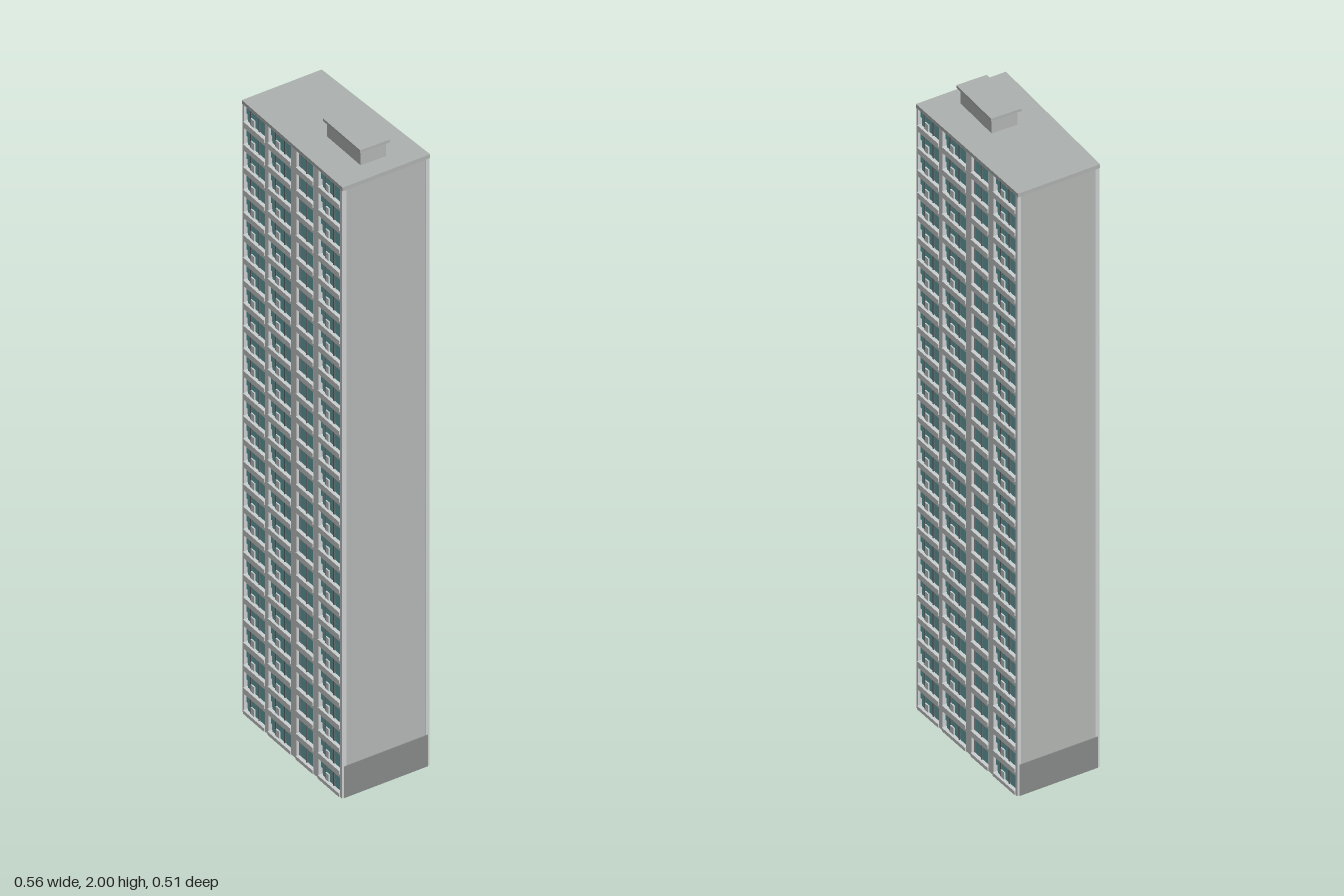
import * as THREE from 'three';
import { mergeGeometries } from 'three/addons/utils/BufferGeometryUtils.js';

const material = (name, color) => {
  const m = new THREE.MeshStandardMaterial({ color });
  m.name = name;
  return m;
};

const HEIGHT = 1.945, FLOORS = 27, STEP = HEIGHT / FLOORS, RECESS = 0.012;

// Plan corners [x, z]
const A = [-0.135, -0.251], B = [0.278, 0.016], C = [0.122, 0.251], D = [-0.277, -0.036];
const toward = (p, q, d) => {
  const l = Math.hypot(q[0] - p[0], q[1] - p[1]);
  return [p[0] + (q[0] - p[0]) * d / l, p[1] + (q[1] - p[1]) * d / l];
};

// Vertical prism over a plan polygon
function prism(points, y0, y1) {
  const shape = new THREE.Shape(points.map(([x, z]) => new THREE.Vector2(x, -z)));
  return new THREE.ExtrudeGeometry(shape, { depth: y1 - y0, bevelEnabled: false })
    .rotateX(-Math.PI / 2).translate(0, y0, 0);
}

// Box given by its limits
const block = (x0, x1, y0, y1, z0, z1) =>
  new THREE.BoxGeometry(x1 - x0, y1 - y0, z1 - z0)
    .translate((x0 + x1) / 2, (y0 + y1) / 2, (z0 + z1) / 2);

// Group whose x axis runs from p to q and whose z axis points outward
function sideGroup(name, p, q) {
  const g = new THREE.Group();
  g.name = name;
  g.position.set(p[0], 0, p[1]);
  g.rotation.y = -Math.atan2(q[1] - p[1], q[0] - p[0]);
  return g;
}

export function createModel() {
  const wall = material('end wall grey', 0xb2b5b3);
  const white = material('facade pale grey', 0xcbcecf);
  const glass = material('teal glass', 0x66a5a9);
  const frame = material('dark frame', 0x626867);
  const panel = material('grey panel', 0x999e9e);
  const base = material('base grey', 0x868989);
  const roofGrey = material('roof grey', 0xacb0af);

  const model = new THREE.Group();
  model.name = 'towerBlock';
  const add = (parent, name, geo, mat) => {
    const mesh = new THREE.Mesh(geo, mat);
    mesh.name = name;
    parent.add(mesh);
  };

  // Core, set back behind both long facades
  add(model, 'core', prism([toward(A, D, RECESS), toward(D, A, RECESS),
    toward(C, B, RECESS), toward(B, C, RECESS)], 0, HEIGHT - 0.01), wall);
  add(model, 'roof', prism([A, D, C, B], HEIGHT - 0.01, HEIGHT), roofGrey);

  // Window bays as fractions of the facade width; the third is a stair bay
  const bays = [[0.015, 0.225], [0.26, 0.49], [0.545, 0.715], [0.765, 0.98]];

  function facade(name, p, q) {
    const g = sideGroup(name, p, q);
    const W = Math.hypot(q[0] - p[0], q[1] - p[1]);
    const back = -RECESS;
    const parts = { piers: [], slabs: [], windows: [], frames: [], stairPanels: [], railings: [] };

    // Full-height piers between the bays
    const edges = [0, ...bays.flat(), 1];
    for (let i = 0; i < edges.length; i += 2) {
      parts.piers.push(block(edges[i] * W, edges[i + 1] * W, 0, HEIGHT - 0.01, back - 0.002, 0));
    }

    for (let f = 0; f < FLOORS; f++) {
      const y = f * STEP;
      bays.forEach(([a, b], i) => {
        const x0 = a * W, x1 = b * W, w = x1 - x0;
        const at = (s) => x0 + s * w;
        // Floor band with a small projecting ledge
        parts.slabs.push(block(x0, x1, y, y + 0.011, back - 0.002, 0.003));
        parts.slabs.push(block(x0, x1, y + 0.061, Math.min(y + STEP, HEIGHT - 0.01), back - 0.002, 0));
        if (i === 2) {
          // Stair bay: grey panel with two tall panes
          parts.stairPanels.push(block(x0, x1, y + 0.011, y + 0.061, back, back + 0.004));
          for (const s of [0.14, 0.56]) {
            parts.windows.push(block(at(s), at(s + 0.3), y + 0.016, y + 0.056, back, back + 0.006));
          }
          parts.frames.push(block(at(0.48), at(0.52), y + 0.011, y + 0.061, back, back + 0.008));
        } else {
          // Living bay: wide glazing above, doors below
          parts.windows.push(block(x0, x1, y + 0.033, y + 0.061, back, back + 0.004));
          for (const [s, e] of [[0.08, 0.2], [0.42, 0.58], [0.68, 0.94]]) {
            parts.windows.push(block(at(s), at(e), y + 0.011, y + 0.033, back, back + 0.004));
          }
          for (const s of [0.22, 0.61, 0.95]) {
            parts.frames.push(block(at(s), at(s + 0.04), y + 0.011, y + 0.061, back, back + 0.007));
          }
          parts.railings.push(block(at(0.26), at(0.41), y + 0.011, y + 0.033, back, back + 0.008));
        }
      });
    }
    const mats = { piers: white, slabs: white, windows: glass, frames: frame, stairPanels: panel, railings: white };
    for (const key in parts) add(g, key, mergeGeometries(parts[key]), mats[key]);
    model.add(g);
  }
  facade('frontFacade', D, C);
  facade('backFacade', B, A);

  // Plain end walls: dark base course and slim coping
  for (const [name, p, q] of [['leftEnd', C, B], ['rightEnd', A, D]]) {
    const g = sideGroup(name, p, q);
    const W = Math.hypot(q[0] - p[0], q[1] - p[1]);
    add(g, 'baseCourse', block(0.006, W - 0.006, 0, 0.1, -0.002, 0.002), base);
    add(g, 'coping', block(0, W, HEIGHT - 0.012, HEIGHT, -0.004, 0.003), roofGrey);
    model.add(g);
  }

  // Rooftop plant room with an overhanging lid
  const hut = new THREE.Group();
  hut.name = 'plantRoom';
  hut.position.set(0.085, HEIGHT, 0.055);
  hut.rotation.y = -0.617;
  add(hut, 'plantRoomWalls', block(-0.082, 0.082, 0, 0.048, -0.04, 0.04), wall);
  add(hut, 'plantRoomLid', block(-0.091, 0.091, 0.047, 0.055, -0.047, 0.047), roofGrey);
  model.add(hut);

  return model;
}
